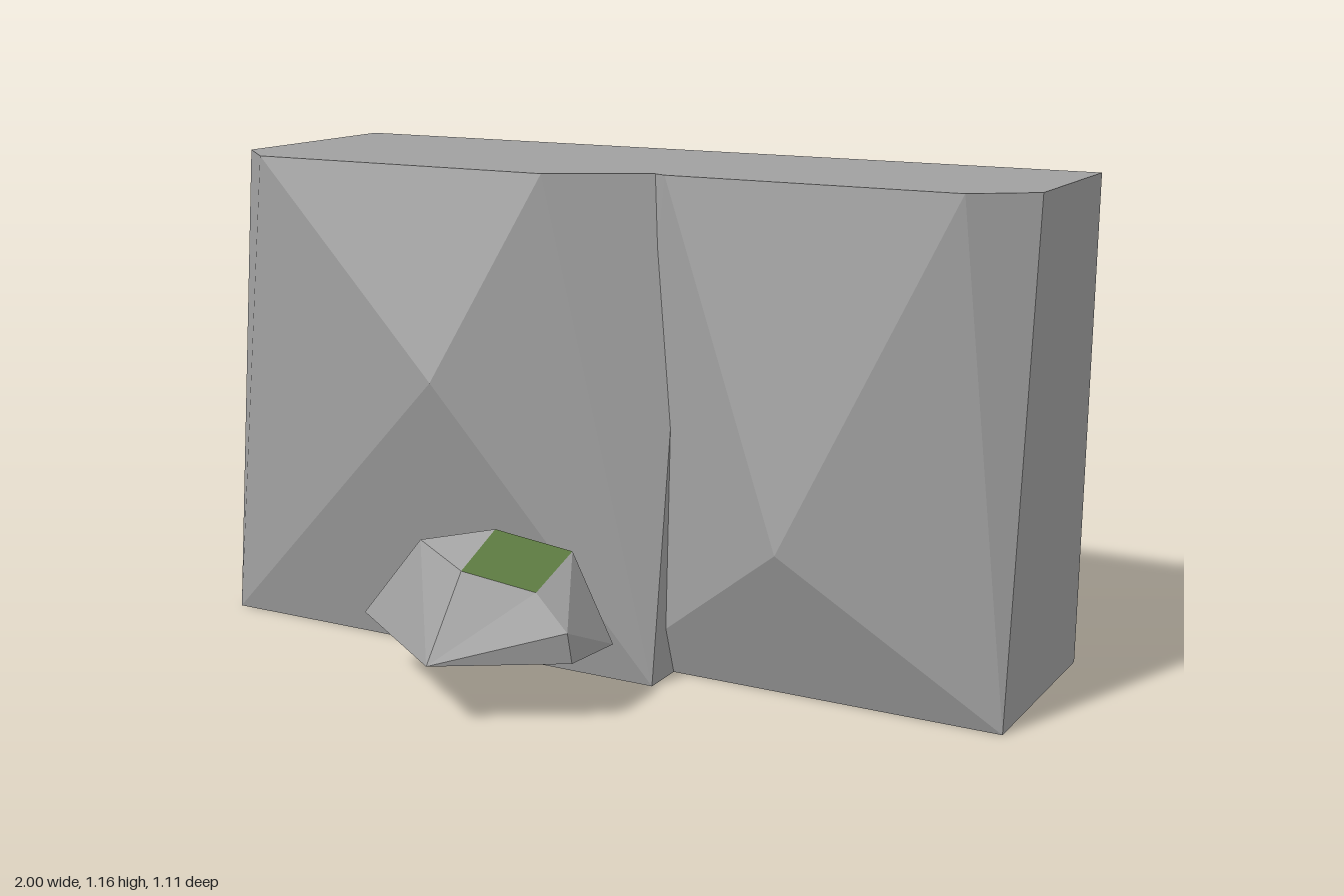
import * as THREE from 'three';

const stone = new THREE.MeshStandardMaterial({ color: 0xa0a0a0 });
stone.name = 'grey stone';
const moss = new THREE.MeshStandardMaterial({ color: 0x5c7a40 });
moss.name = 'green moss';

// Flat-shaded mesh from named corner points and polygons wound counter-clockwise
function facetMesh(name, points, faces, material) {
  const pos = [];
  for (const face of faces) {
    const ids = face.split(' ');
    for (let i = 1; i < ids.length - 1; i++) {
      pos.push(...points[ids[0]], ...points[ids[i]], ...points[ids[i + 1]]);
    }
  }
  const geo = new THREE.BufferGeometry();
  geo.setAttribute('position', new THREE.Float32BufferAttribute(pos, 3));
  geo.computeVertexNormals();
  const mesh = new THREE.Mesh(geo, material);
  mesh.name = name;
  return mesh;
}

// Cliff block: flat back, front pulled out to a peak, two slanted upper corners
const H = 1.165, BACK = -0.555;
function cliffBlock(name, { left, right, front, chamferL, chamferR, zL, zR, peak }) {
  const points = {
    bl: [left, 0, front], br: [right, 0, front],
    tl: [left, H, zL], tr: [right, H, zR],
    cl: [chamferL, H, front], cr: [chamferR, H, front],
    kbl: [left, 0, BACK], kbr: [right, 0, BACK],
    ktl: [left, H, BACK], ktr: [right, H, BACK],
    peak,
  };
  return facetMesh(name, points, [
    'bl br peak', 'br cr peak', 'cr cl peak', 'cl bl peak', // faceted front
    'bl cl tl', 'br tr cr',                                 // slanted corners
    'br kbr ktr tr', 'kbl bl tl ktl',                       // sides
    'kbr kbl ktl ktr',                                      // back
    'tl cl cr tr ktr ktl', 'kbl kbr br bl',                 // top and bottom
  ], stone);
}

export function createModel() {
  const model = new THREE.Group();
  model.name = 'rockCliff';

  model.add(cliffBlock('leftViewCliff', {
    left: -1, right: 0.2, front: 0.085, chamferL: -0.885, chamferR: -0.09,
    zL: -0.025, zR: -0.076, peak: [-0.3, 0.69, 0.235],
  }));
  model.add(cliffBlock('rightViewCliff', {
    left: 0.05, right: 1, front: -0.025, chamferL: 0.165, chamferR: 0.865,
    zL: -0.08, zR: -0.125, peak: [0.51, 0.365, 0.105],
  }));

  // Boulder resting against the cliff: base ring, shoulder and ridge points
  const rock = {
    l0: [-0.44, 0.142, 0.315], f0: [-0.107, 0.142, 0.553], r0: [0.16, 0.142, 0.383],
    s0: [0.176, 0.142, 0.227], k0: [0, 0.142, 0.11], j0: [-0.3, 0.142, 0.1],
    b: [0.155, 0.214, 0.394],
    g1: [-0.088, 0.33, 0.438], g2: [0.07, 0.29, 0.383],
    g3: [0.078, 0.347, 0.238], g4: [-0.087, 0.39, 0.298],
    a: [-0.258, 0.353, 0.345], d: [-0.31, 0.31, 0.22],
    h1: [-0.22, 0.32, 0.18], h2: [-0.13, 0.312, 0.176],
  };
  const boulder = new THREE.Group();
  boulder.name = 'boulder';
  boulder.add(facetMesh('boulderStone', rock, [
    'l0 f0 a', 'f0 g1 a', 'a g1 g4', 'f0 r0 b', 'f0 b g2 g1',
    'r0 s0 b', 'b s0 g3 g2', 's0 k0 h2 g3',
    'g4 h1 a', 'a h1 d', 'l0 a d', 'l0 d j0', 'd h1 j0', 'j0 h1 h2 k0',
    'j0 k0 s0 r0 f0 l0',
  ], stone));
  boulder.add(facetMesh('boulderMoss', rock, ['g1 g2 g3 g4', 'g4 g3 h2 h1'], moss));
  model.add(boulder);

  return model;
}
